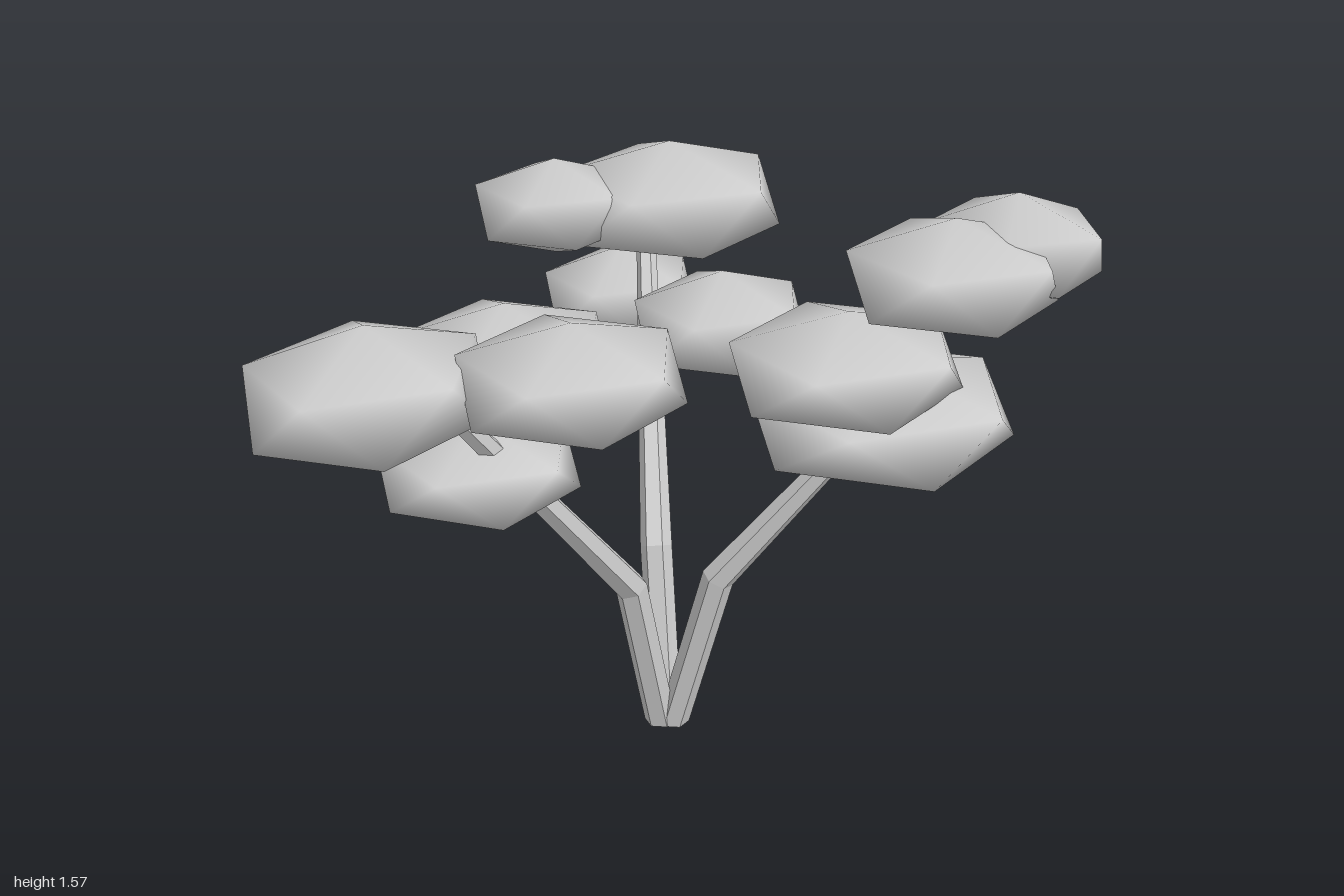
import * as THREE from 'three';

const grey = new THREE.MeshStandardMaterial({ color: 0xcccccc });
grey.name = 'pale grey';

// Twenty-sided leaf clump with its poles up and shared (smooth) normals
function clumpGeometry() {
  const pos = [0, 1, 0];
  for (const [y, turn] of [[0.447, 0], [-0.447, Math.PI / 5]]) {
    for (let i = 0; i < 5; i++) {
      const a = turn + (i * Math.PI * 2) / 5;
      pos.push(0.894 * Math.cos(a), y, -0.894 * Math.sin(a));
    }
  }
  pos.push(0, -1, 0);
  const index = [];
  for (let i = 0; i < 5; i++) {
    const u = 1 + i, un = 1 + ((i + 1) % 5);
    const l = 6 + i, ln = 6 + ((i + 1) % 5);
    index.push(0, u, un, u, l, un, un, l, ln, 11, ln, l);
  }
  const g = new THREE.BufferGeometry();
  g.setAttribute('position', new THREE.Float32BufferAttribute(pos, 3));
  g.setIndex(index);
  g.computeVertexNormals();
  return g;
}

// Tapered six-sided limb through three points, bent at the middle one
function limbGeometry(points, radii) {
  const p = points.map((q) => new THREE.Vector3(...q));
  const up = new THREE.Vector3(0, 1, 0);
  const lower = p[1].clone().sub(p[0]).normalize();
  const upper = p[2].clone().sub(p[1]).normalize();
  const dirs = [up, lower.clone().add(upper).normalize(), upper];
  const turns = dirs.map((d) => new THREE.Quaternion().setFromUnitVectors(up, d));
  const g = new THREE.CylinderGeometry(1, 1, 2, 6, 2);
  const at = g.attributes.position;
  const v = new THREE.Vector3();
  for (let i = 0; i < at.count; i++) {
    v.fromBufferAttribute(at, i);
    const k = Math.round(v.y + 1);
    v.setY(0).multiplyScalar(radii[k]).applyQuaternion(turns[k]).add(p[k]);
    at.setXYZ(i, v.x, v.y, v.z);
  }
  const flat = g.toNonIndexed();
  flat.computeVertexNormals();
  return flat;
}

export function createModel() {
  const tree = new THREE.Group();
  tree.name = 'tree';

  // Three limbs rising from one foot
  const limbs = {
    frontLimb: [[-0.07, 0, -0.085], [-0.08, 0.48, 0.035], [-0.19, 1.15, 0.58]],
    backLimb: [[-0.07, 0, -0.11], [-0.17, 0.48, -0.2], [-0.5, 1.2, -0.6]],
    rightLimb: [[-0.04, 0, -0.105], [0.09, 0.49, -0.13], [0.45, 1.0, -0.3]],
  };
  limbs.leftLimb = limbs.rightLimb; // the limb towards +x is the model's left
  delete limbs.rightLimb;
  for (const [name, path] of Object.entries(limbs)) {
    const limb = new THREE.Mesh(limbGeometry(path, [0.045, 0.045, 0.028]), grey);
    limb.name = name;
    tree.add(limb);
  }

  // Flattened leaf clumps: centre x, y, z, then half width, height, depth
  const clumps = [
    [-0.483, 1.31, -0.69, 0.318, 0.172, 0.314],
    [-0.685, 0.97, -0.72, 0.225, 0.15, 0.225],
    [-0.685, 1.322, -0.415, 0.225, 0.138, 0.215],
    [-0.115, 1.09, -0.432, 0.235, 0.15, 0.238],
    [0.678, 1.43, -0.57, 0.228, 0.14, 0.197],
    [0.615, 1.398, -0.365, 0.262, 0.147, 0.258],
    [0.417, 1.165, -0.21, 0.29, 0.142, 0.293],
    [0.465, 1.01, -0.318, 0.338, 0.148, 0.34],
    [-0.352, 1.208, 0.7, 0.274, 0.17, 0.295],
    [0.035, 1.24, 0.41, 0.27, 0.142, 0.268],
    [-0.43, 1.08, 0.113, 0.28, 0.16, 0.278],
    [-0.252, 0.942, 0.433, 0.255, 0.125, 0.242],
  ];
  const foliage = new THREE.Group();
  foliage.name = 'foliage';
  const geometry = clumpGeometry();
  clumps.forEach(([x, y, z, w, h, d], i) => {
    const clump = new THREE.Mesh(geometry, grey);
    clump.name = `leafClump${i + 1}`;
    clump.position.set(x, y, z);
    clump.scale.set(w / 0.894, h, d / 0.85);
    foliage.add(clump);
  });
  tree.add(foliage);
  return tree;
}
